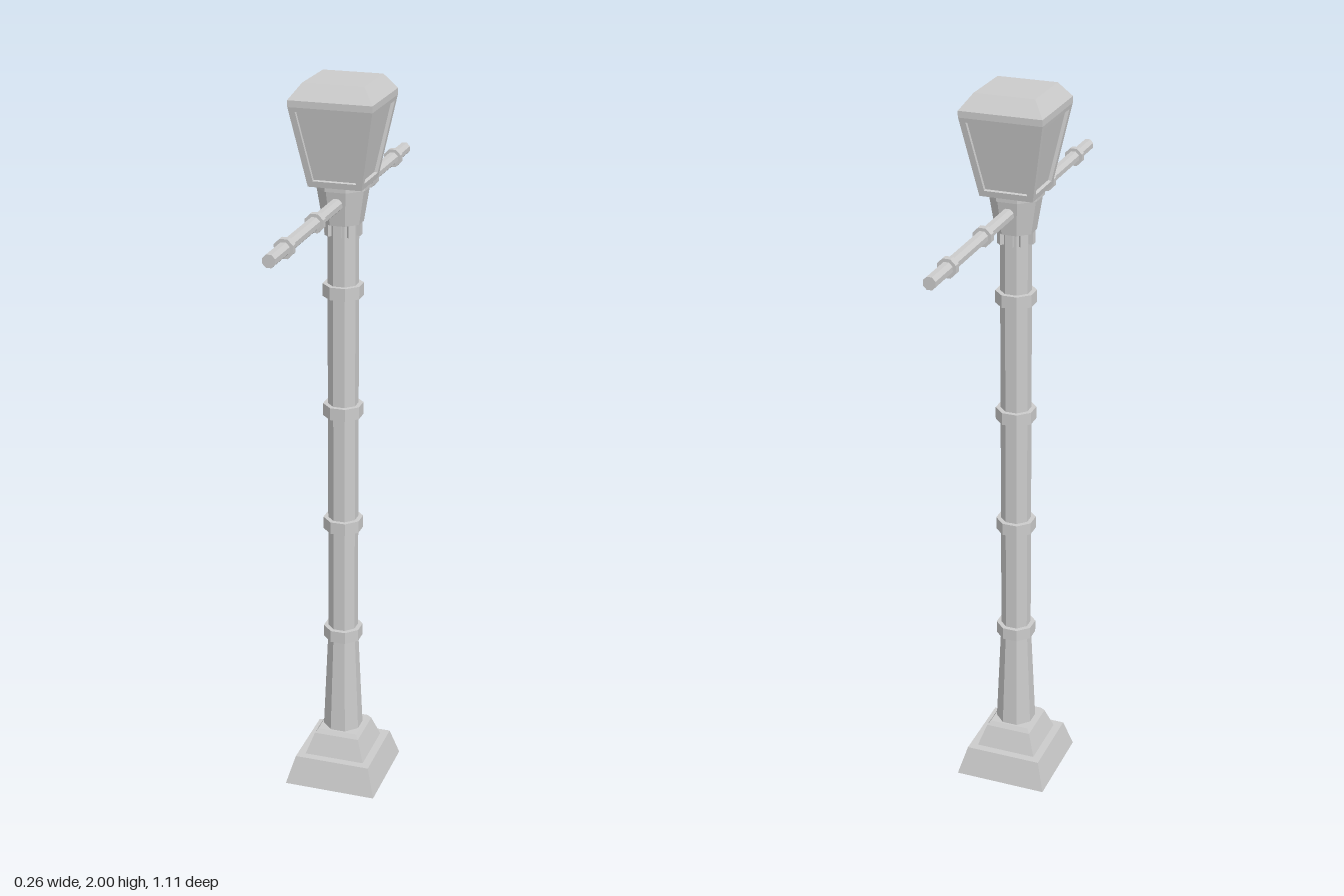
import * as THREE from 'three';

const mat = new THREE.MeshStandardMaterial({ color: 0xcccccc, flatShading: true });

function add(parent, name, geo, x = 0, y = 0, z = 0) {
  const m = new THREE.Mesh(geo, mat);
  m.name = name;
  m.position.set(x, y, z);
  parent.add(m);
  return m;
}

// Upright prism with flat sides facing the axes; sizes are half widths across flats
function prism(parent, name, sides, bottom, top, y0, y1) {
  const k = 1 / Math.cos(Math.PI / sides);
  const geo = new THREE.CylinderGeometry(top * k, bottom * k, y1 - y0, sides);
  geo.rotateY(Math.PI / sides);
  return add(parent, name, geo, 0, (y0 + y1) / 2, 0);
}

export function createModel() {
  const group = new THREE.Group();
  group.name = 'streetLamp';

  // Stepped square base
  prism(group, 'baseLower', 4, 0.13, 0.107, 0, 0.08);
  prism(group, 'baseUpper', 4, 0.085, 0.064, 0.08, 0.14);
  prism(group, 'baseCap', 4, 0.064, 0.056, 0.14, 0.152);

  // Octagonal post with a flared foot and bands
  prism(group, 'postFoot', 8, 0.051, 0.039, 0.15, 0.44);
  prism(group, 'post', 8, 0.038, 0.038, 0.43, 1.66);
  for (const y of [0.45, 0.783, 1.116, 1.45]) {
    prism(group, 'postBand', 8, 0.05, 0.05, y - 0.017, y + 0.017);
  }

  // Flared collar with tabs hanging from its lower edge
  prism(group, 'collar', 8, 0.049, 0.064, 1.632, 1.73);
  prism(group, 'collarRim', 8, 0.067, 0.067, 1.724, 1.737);
  for (let i = 0; i < 8; i++) {
    const a = (i * Math.PI) / 4;
    const tab = add(group, 'collarTab', new THREE.BoxGeometry(0.019, 0.036, 0.012),
      Math.sin(a) * 0.043, 1.618, Math.cos(a) * 0.043);
    tab.rotation.y = a;
  }

  // Cross bars with bands, one to the front and one to the back
  for (const s of [1, -1]) {
    const rod = (name, r, z0, z1) => {
      const geo = new THREE.CylinderGeometry(r, r, z1 - z0, 8);
      geo.rotateY(Math.PI / 8).rotateX(Math.PI / 2);
      add(group, name, geo, 0, 1.69, (s * (z0 + z1)) / 2);
    };
    rod('crossBar', 0.0173, 0, 0.555);
    for (const z of [0.223, 0.445]) rod('crossBarBand', 0.026, z - 0.009, z + 0.009);
  }

  // Lantern: recessed panes behind four sloping frames
  const y0 = 1.735, y1 = 1.945, b = 0.071, t = 0.11, depth = 0.012;
  const slant = Math.hypot(y1 - y0, t - b);
  const tilt = Math.atan2(t - b, y1 - y0);
  prism(group, 'lanternPanes', 4, b - 0.009, t - 0.009, y0 + 0.002, y1);
  prism(group, 'lanternFloor', 4, b, b + 0.002, y0, y0 + 0.011);

  const shape = new THREE.Shape([[-b, 0], [b, 0], [t, slant], [-t, slant]]
    .map(([x, y]) => new THREE.Vector2(x, y)));
  shape.holes.push(new THREE.Path([[-0.057, 0.016], [-0.091, 0.2], [0.091, 0.2], [0.057, 0.016]]
    .map(([x, y]) => new THREE.Vector2(x, y))));
  const frameGeo = new THREE.ExtrudeGeometry(shape, { depth, bevelEnabled: false });
  frameGeo.translate(0, 0, -depth).rotateX(tilt).translate(0, y0, b);
  for (let i = 0; i < 4; i++) {
    add(group, 'lanternFrame', frameGeo).rotation.y = (i * Math.PI) / 2;
  }

  // Roof: narrow band and bevelled cap
  prism(group, 'roofBand', 4, 0.11, 0.11, 1.943, 1.96);
  prism(group, 'roof', 4, 0.11, 0.08, 1.96, 2.0);

  return group;
}
